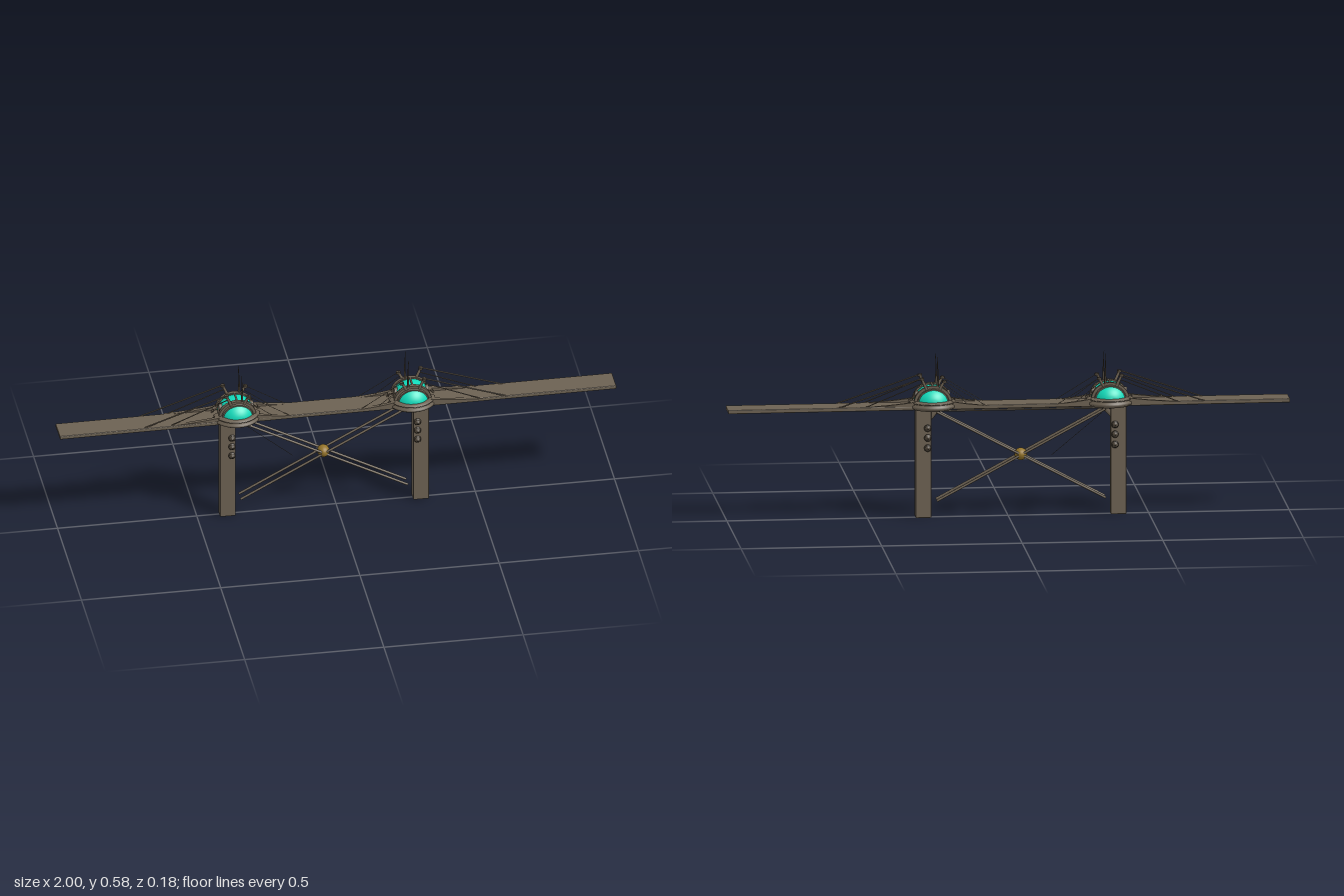
import * as THREE from 'three';
import { RoundedBoxGeometry } from 'three/addons/geometries/RoundedBoxGeometry.js';

const mat = (color) => new THREE.MeshStandardMaterial({ color, side: THREE.DoubleSide });
const brown = mat(0x6c6152), dark = mat(0x4f463a), teal = mat(0x12dcbc), gold = mat(0x94742a);

function add(parent, name, geometry, material, x = 0, y = 0, z = 0) {
  const m = new THREE.Mesh(geometry, material);
  m.name = name;
  m.position.set(x, y, z);
  parent.add(m);
  return m;
}

// round bar between two points
function bar(parent, name, a, b, r, material = brown, r2 = r, sides = 8) {
  const A = new THREE.Vector3(...a), B = new THREE.Vector3(...b);
  const m = add(parent, name, new THREE.CylinderGeometry(r2, r, A.distanceTo(B), sides), material);
  m.position.copy(A).add(B).multiplyScalar(0.5);
  m.quaternion.setFromUnitVectors(new THREE.Vector3(0, 1, 0), B.sub(A).normalize());
  return m;
}

// height of the tunnel arch above the dome base
const TW = 0.013, TH = 0.036;
const archY = (z) => Math.abs(z) >= TW ? 0 : TH - TW + Math.sqrt(TW * TW - z * z);

// slice of the ellipsoid dome between two z planes, open where the tunnel passes
function domeSlice(z0, z1, k = 1) {
  const pos = [], idx = [], nz = 12, na = 24;
  for (let i = 0; i <= nz; i++) {
    const z = z0 + (z1 - z0) * i / nz;
    const f = Math.sqrt(Math.max(0, 1 - (z / 0.0735) ** 2));
    const a0 = Math.asin(Math.min(1, archY(z) / (0.06 * k)));
    for (let j = 0; j <= na; j++) {
      const a = a0 + (Math.PI - 2 * a0) * j / na;
      pos.push(0.066 * k * f * Math.cos(a), 0.06 * k * f * Math.sin(a), z);
      if (i < nz && j < na) {
        const p = i * (na + 1) + j, q = p + na + 1;
        idx.push(p, q, p + 1, q, q + 1, p + 1);
      }
    }
  }
  const g = new THREE.BufferGeometry();
  g.setAttribute('position', new THREE.Float32BufferAttribute(pos, 3));
  g.setIndex(idx);
  g.computeVertexNormals();
  // keep normals pointing outwards
  const n = g.attributes.normal, mid = Math.floor(nz / 2) * (na + 1) + na / 2;
  if (n.getY(mid) < 0) {
    g.setIndex(idx.map((v, i) => idx[i - i % 3 + 2 - i % 3]));
    g.computeVertexNormals();
  }
  return g;
}

// thick half-elliptic rib over the dome
function rib(z, width, k) {
  const f = Math.sqrt(1 - (z / 0.0735) ** 2);
  const s = new THREE.Shape();
  s.absellipse(0, 0, 0.066 * f * k, 0.06 * f * k, 0, Math.PI, false);
  s.absellipse(0, 0, 0.06 * f, 0.054 * f, Math.PI, 0, true);
  const g = new THREE.ExtrudeGeometry(s, { depth: width, bevelEnabled: false, curveSegments: 20 });
  g.translate(0, 0, z - width / 2);
  return g;
}

// lining of the walkway tunnel
function tunnelGeometry() {
  const outline = (p, w, h) => {
    p.moveTo(-w, 0); p.lineTo(-w, h - w);
    p.absarc(0, h - w, w, Math.PI, 0, true);
    p.lineTo(w, 0);
    return p;
  };
  const s = outline(new THREE.Shape(), TW + 0.004, TH + 0.004);
  s.lineTo(TW, 0); s.lineTo(TW, TH - TW);
  s.absarc(0, TH - TW, TW, 0, Math.PI, false);
  s.lineTo(-TW, 0);
  const g = new THREE.ExtrudeGeometry(s, { depth: 0.124, bevelEnabled: false, curveSegments: 10 });
  g.translate(0, 0, -0.062);
  g.rotateY(Math.PI / 2);
  return g;
}

// wedge along the deck edge, rising towards the dome
function wedge(x0, x1, h) {
  const s = new THREE.Shape();
  s.moveTo(x0, -0.006);
  s.lineTo(x0, h);
  s.quadraticCurveTo(x0 + (x1 - x0) * 0.4, 0.005, x1, 0);
  s.lineTo(x1, -0.006);
  const g = new THREE.ExtrudeGeometry(s, { depth: 0.012, bevelEnabled: false });
  g.translate(0, 0, -0.006);
  return g;
}

// one tower; local +x points to the outer end of the deck
function createTower(name) {
  const t = new THREE.Group();
  t.name = name;
  add(t, 'pillar', new RoundedBoxGeometry(0.056, 0.398, 0.041, 2, 0.003), brown, 0.032, 0.199, 0.0015);
  bar(t, 'bracket', [0.03, 0.335, 0], [-0.025, 0.392, 0], 0.009, brown, 0.009, 4);

  // station base: two arcs that leave the walkway free
  const rim = [[0.055, 0.394], [0.076, 0.394], [0.088, 0.402], [0.088, 0.41], [0.079, 0.415],
    [0.085, 0.418], [0.085, 0.421], [0.075, 0.426], [0.055, 0.426]].map((p) => new THREE.Vector2(...p));
  for (const start of [0, Math.PI])
    add(t, 'baseRim', new THREE.LatheGeometry(rim, 20, start - Math.PI / 2 + 0.19, Math.PI - 0.38), brown);
  add(t, 'baseFloor', new THREE.CylinderGeometry(0.08, 0.076, 0.013, 32), brown, 0, 0.4005, 0);

  // dome with glass panels, ribs and tunnel
  const dome = new THREE.Group();
  dome.name = 'dome';
  dome.position.y = 0.418;
  t.add(dome);
  add(dome, 'roofGlass', domeSlice(-0.022, 0.022, 0.98), teal);
  add(dome, 'roofRib', new THREE.BoxGeometry(0.006, 0.005, 0.06), brown, 0, 0.059, 0);
  const tunnel = add(dome, 'tunnel', tunnelGeometry(), brown, 0, -0.01, 0);
  tunnel.scale.y = 1.2;
  for (const s of [-1, 1]) {
    add(dome, 'sideGlass', domeSlice(s > 0 ? 0.04 : -0.0735, s > 0 ? 0.0735 : -0.04), teal);
    add(dome, 'shell', domeSlice(s > 0 ? 0.02 : -0.042, s > 0 ? 0.042 : -0.02, 1.02), brown);
    add(dome, 'mainRib', rib(s * 0.031, 0.014, 1.13), brown);
    add(dome, 'edgeRib', rib(s * 0.044, 0.004, 1.06), brown);

    // cable horns
    for (const [d, h] of [[1, 0.51], [-1, 0.5]]) {
      bar(t, 'horn', [d * 0.02, 0.46, s * 0.034], [d * 0.042, h, s * 0.038], 0.006, brown, 0.0045);
      add(t, 'hornCap', new THREE.CylinderGeometry(0.008, 0.008, 0.009, 10), dark, d * 0.04, h - 0.005, s * 0.038);
    }
    // stay cables down to the deck
    bar(t, 'outerCable', [0.04, 0.508, s * 0.038], [0.335, 0.408, s * 0.041], 0.0025, brown, 0.0025, 6);
    bar(t, 'outerCable', [0.036, 0.49, s * 0.038], [0.24, 0.408, s * 0.041], 0.0018, brown, 0.0018, 6);
    bar(t, 'innerCable', [-0.04, 0.497, s * 0.038], [-0.185, 0.408, s * 0.041], 0.001, brown, 0.001, 5);
    bar(t, 'innerCable', [-0.036, 0.48, s * 0.038], [-0.13, 0.408, s * 0.041], 0.001, brown, 0.001, 5);

    // antenna
    bar(t, 'antennaBase', [-0.016, 0.46, s * 0.033], [-0.018, 0.515, s * 0.033], 0.005, dark, 0.003);
    bar(t, 'antenna', [-0.018, 0.51, s * 0.033], [-0.015, 0.583, s * 0.033], 0.0028, dark, 0.0008, 6);

    // deck edge fairings
    add(t, 'outerFairing', wedge(0.06, 0.25, 0.017), brown, 0, 0.408, s * 0.04);
    add(t, 'innerFairing', wedge(-0.06, -0.19, 0.017), brown, 0, 0.408, s * 0.04);

    // ribbed insulators on the pillar
    const prof = [[0.004, 0], [0.008, 0.002], [0.008, 0.004], [0.013, 0.005], [0.013, 0.008], [0.009, 0.009],
      [0.009, 0.011], [0.011, 0.012], [0.009, 0.015], [0.004, 0.016], [0.003, 0.021], [0, 0.021]]
      .map((p) => new THREE.Vector2(...p));
    for (const y of [0.253, 0.29, 0.325]) {
      const ins = add(t, 'insulator', new THREE.LatheGeometry(prof, 14), dark, 0.018, y, 0.0015 + s * 0.0195);
      ins.rotation.x = s * Math.PI / 2;
    }
  }
  return t;
}

export function createModel() {
  const model = new THREE.Group();
  model.name = 'bridge';

  // deck, very slightly turned
  const deck = add(model, 'deck', new RoundedBoxGeometry(2, 0.014, 0.09, 2, 0.003), brown, 0, 0.402, 0);
  deck.rotation.y = 0.005;

  // mirrored towers and the bracing between them
  const span = new THREE.Group();
  span.name = 'span';
  span.position.x = -0.045;
  model.add(span);
  for (const s of [1, -1]) {
    const tower = createTower(s > 0 ? 'leftTower' : 'rightTower');
    tower.position.x = s * 0.315;
    tower.scale.x = s;
    span.add(tower);
    for (const z of [0.016, -0.022])
      bar(span, 'crossBrace', [-s * 0.3, 0.062, z - 0.002], [s * 0.3, 0.382, z + 0.002], 0.0045);
    bar(span, 'tieRod', [-0.3, 0.385, s * 0.016], [0.3, 0.385, s * 0.016], 0.003);
  }
  bar(span, 'looseCable', [-0.29, 0.365, 0], [-0.11, 0.215, 0], 0.0008, dark, 0.0008, 5);

  // hub where the braces cross
  const hub = add(span, 'hub', new THREE.SphereGeometry(0.022, 16, 12), gold, 0, 0.222, -0.003);
  hub.scale.z = 1.2;
  return model;
}
